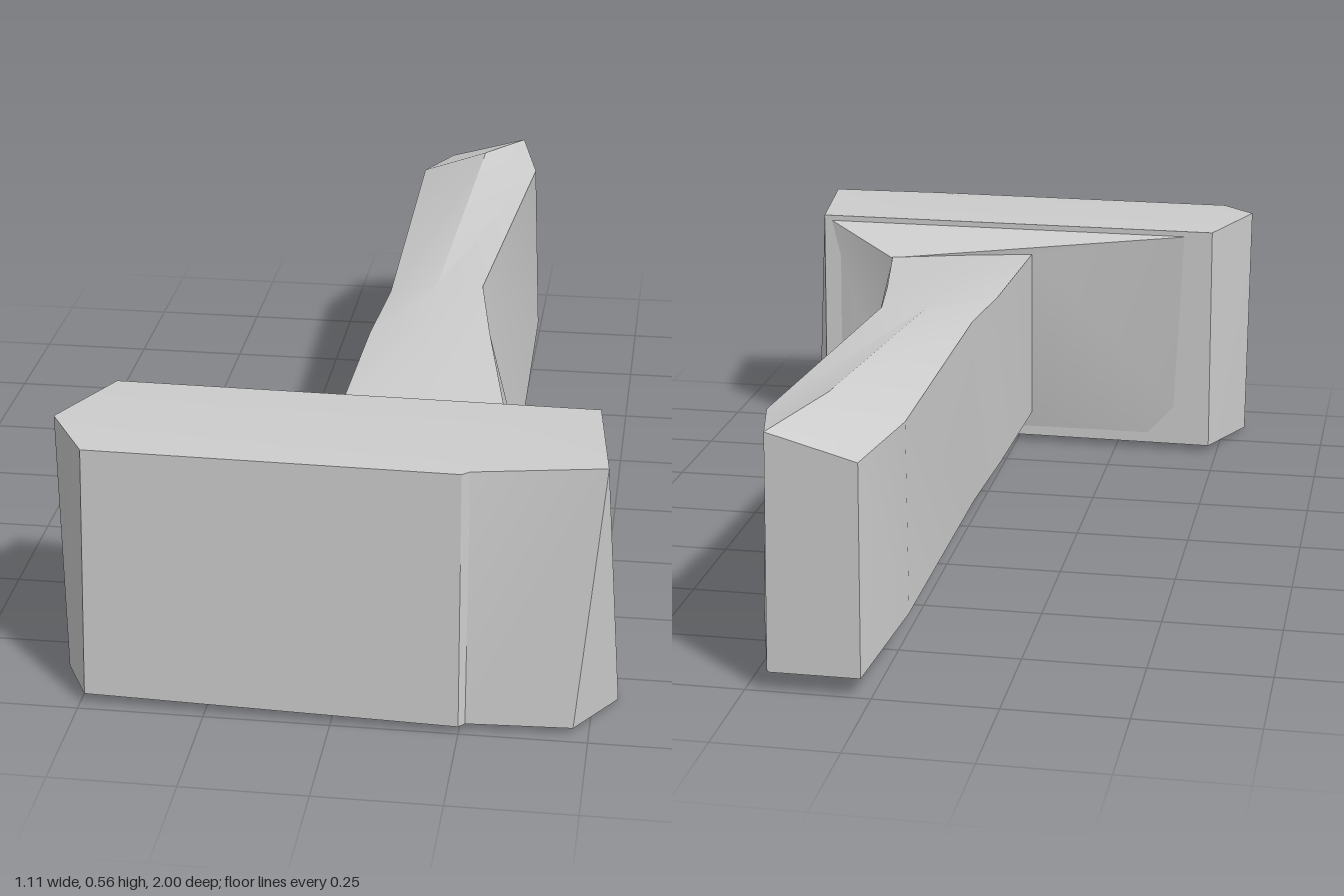
import * as THREE from 'three';
import { toCreasedNormals } from 'three/addons/utils/BufferGeometryUtils.js';

// Skins a list of equal-length rings and closes both ends.
// Rings run counter-clockwise when looked at from the last ring's end.
function loft(rings) {
  const pos = [];
  const tri = (a, b, c) => pos.push(...a, ...b, ...c);
  const n = rings[0].length;
  for (let r = 0; r < rings.length - 1; r++) {
    for (let i = 0; i < n; i++) {
      const j = (i + 1) % n;
      const a = rings[r], b = rings[r + 1];
      tri(a[i], a[j], b[j]);
      tri(a[i], b[j], b[i]);
    }
  }
  const centre = ring => [0, 1, 2].map(k => ring.reduce((s, p) => s + p[k], 0) / n);
  const first = rings[0], last = rings[rings.length - 1];
  const c0 = centre(first), c1 = centre(last);
  for (let i = 0; i < n; i++) {
    const j = (i + 1) % n;
    tri(c0, first[j], first[i]);
    tri(c1, last[i], last[j]);
  }
  const geometry = new THREE.BufferGeometry();
  geometry.setAttribute('position', new THREE.Float32BufferAttribute(pos, 3));
  return toCreasedNormals(geometry, 0.45);
}

export function createModel() {
  const group = new THREE.Group();
  const grey = new THREE.MeshStandardMaterial({ color: 0xcccccc });
  grey.name = 'plain grey';

  const add = (name, rings) => {
    const mesh = new THREE.Mesh(loft(rings), grey);
    mesh.name = name;
    group.add(mesh);
  };

  // Hammer head: bottom and top outlines with a small step in the front face;
  // the +x end folds into triangles around its lower tip
  const tip = [0.52, 0.558, 0.942];
  add('head', [
    [
      [-0.552, 0.005, 0.85], [-0.49, 0.022, 0.98], [0.25, 0.015, 0.998], [0.262, 0.015, 0.985],
      [0.47, 0.015, 0.975], [0.55, 0, 0.83], [0.49, 0.015, 0.665], [-0.48, 0.015, 0.648],
    ],
    [
      [-0.555, 0.56, 0.85], [-0.475, 0.55, 0.972], [0.25, 0.55, 0.985], [0.265, 0.552, 0.976],
      tip, tip, [0.49, 0.552, 0.67], [-0.475, 0.552, 0.655],
    ],
  ]);

  // Handle sections: z, then (x, y) of the bottom left, middle and right,
  // and of the top right, middle and left
  const sections = [
    [-1.0, 0.02, 0.04, 0.11, 0.04, 0.205, 0.04, 0.2, 0.525, 0.11, 0.5, 0.02, 0.475],
    [-0.81, -0.035, 0.105, 0.1, 0.01, 0.26, 0.105, 0.245, 0.51, 0.12, 0.552, -0.03, 0.5],
    [-0.03, -0.02, 0.075, 0.1, 0.065, 0.27, 0.068, 0.19, 0.513, 0.09, 0.515, -0.015, 0.49],
    [0.2, -0.038, 0.09, 0.1, 0.07, 0.316, 0.14, 0.228, 0.498, 0.1, 0.503, -0.03, 0.487],
    [0.61, -0.04, 0.08, 0.13, 0.08, 0.31, 0.08, 0.305, 0.468, 0.13, 0.478, -0.038, 0.485],
    [0.75, -0.04, 0.08, 0.13, 0.08, 0.31, 0.08, 0.305, 0.465, 0.13, 0.475, -0.038, 0.48],
  ];
  add('handle', sections.map(([z, ...c]) =>
    [0, 2, 4, 6, 8, 10].map(k => [c[k], c[k + 1], z])));

  // Shallow flare from the back of the head to the foot of the handle
  add('flare', [
    [[0.485, 0.02, 0.67], [-0.475, 0.02, 0.655], [-0.472, 0.545, 0.66], [0.485, 0.545, 0.675]],
    [[0.312, 0.08, 0.643], [-0.04, 0.08, 0.643], [-0.04, 0.485, 0.633], [0.306, 0.467, 0.604]],
  ]);

  return group;
}
